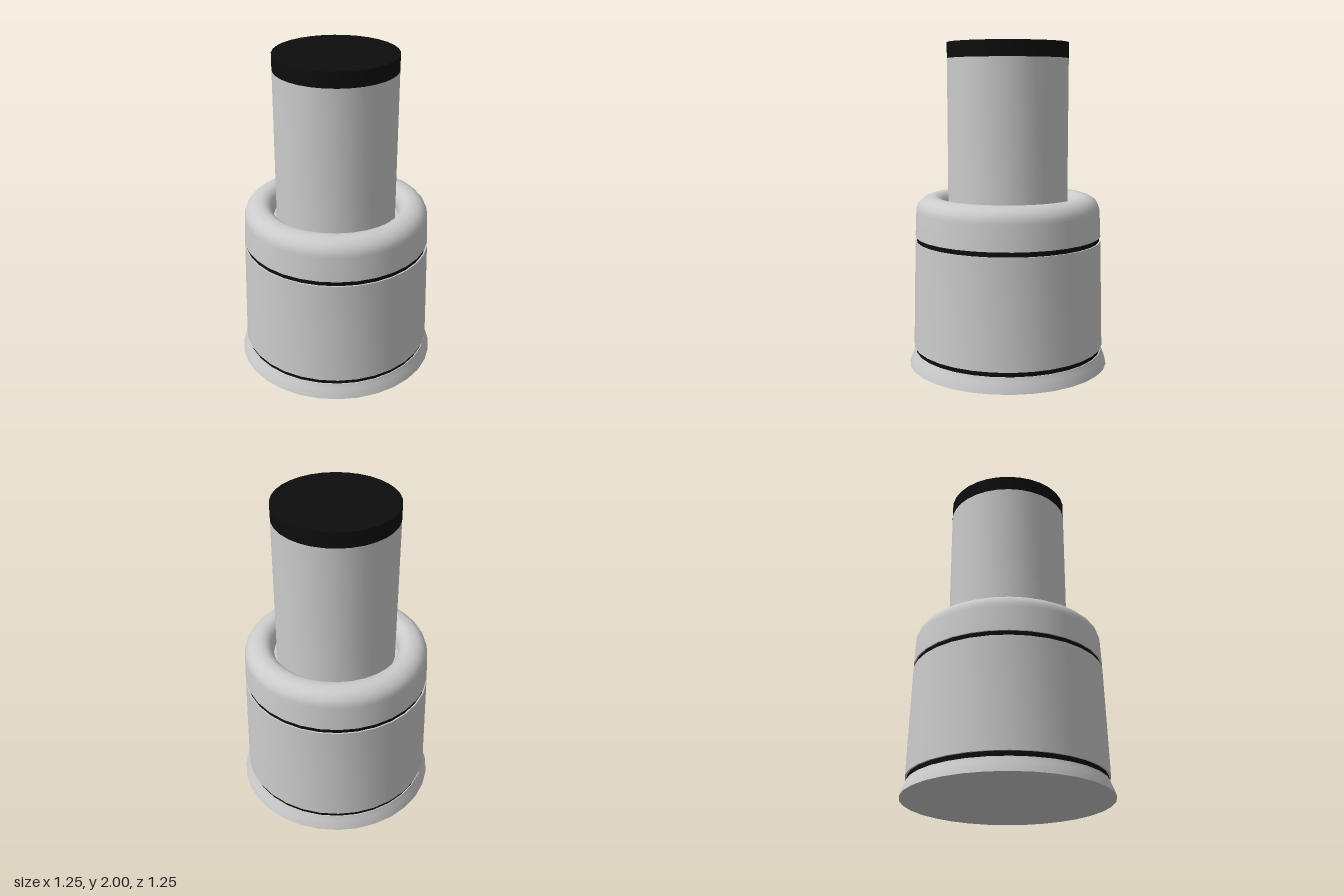
import * as THREE from 'three';
import { toCreasedNormals } from 'three/addons/utils/BufferGeometryUtils.js';

const SIDES = 32;

export function createModel() {
  const model = new THREE.Group();
  const grey = new THREE.MeshStandardMaterial({ color: 0xcccccc });
  const black = new THREE.MeshStandardMaterial({ color: 0x0d0d0d });

  // Turned part from a bottom-to-top [radius, y] profile, sharp only at hard corners
  function turned(name, profile, material) {
    const points = profile.map(([r, y]) => new THREE.Vector2(r, y));
    const geometry = toCreasedNormals(new THREE.LatheGeometry(points, SIDES), 0.6);
    const mesh = new THREE.Mesh(geometry, material);
    mesh.name = name;
    model.add(mesh);
  }

  // Quarter arc of the lip, angles in degrees
  function arc(cx, cy, rx, ry, from, to, steps) {
    return Array.from({ length: steps + 1 }, (_, i) => {
      const a = THREE.MathUtils.degToRad(from + ((to - from) * i) / steps);
      return [cx + rx * Math.cos(a), cy + ry * Math.sin(a)];
    });
  }

  // Flared foot
  turned('base', [
    [0, 0], [0.625, 0], [0.618, 0.025], [0.606, 0.055], [0.596, 0.078], [0.592, 0.09], [0, 0.09],
  ], grey);

  // Slightly tapered housing
  turned('body', [[0, 0.12], [0.597, 0.12], [0.58, 0.785], [0, 0.785]], grey);

  // Rounded collar, rolling inward to a narrow floor around the post
  turned('collar', [
    [0, 0.815], [0.579, 0.815],
    ...arc(0.475, 0.97, 0.097, 0.095, 0, 90, 7),
    ...arc(0.465, 0.975, 0.075, 0.09, 90, 180, 7),
    [0.39, 0.96], [0.36, 0.96],
  ], grey);

  // Dark bands set into the grooves
  for (const [name, r, y] of [['lowerBand', 0.586, 0.105], ['upperBand', 0.571, 0.8]]) {
    turned(name, [[r, y - 0.015], [r, y + 0.015]], black);
  }

  // Post and its dark end cap
  turned('post', [[0.372, 0.94], [0.372, 1.905]], grey);
  turned('endCap', [[0.372, 1.905], [0.372, 2], [0, 2]], black);

  return model;
}
